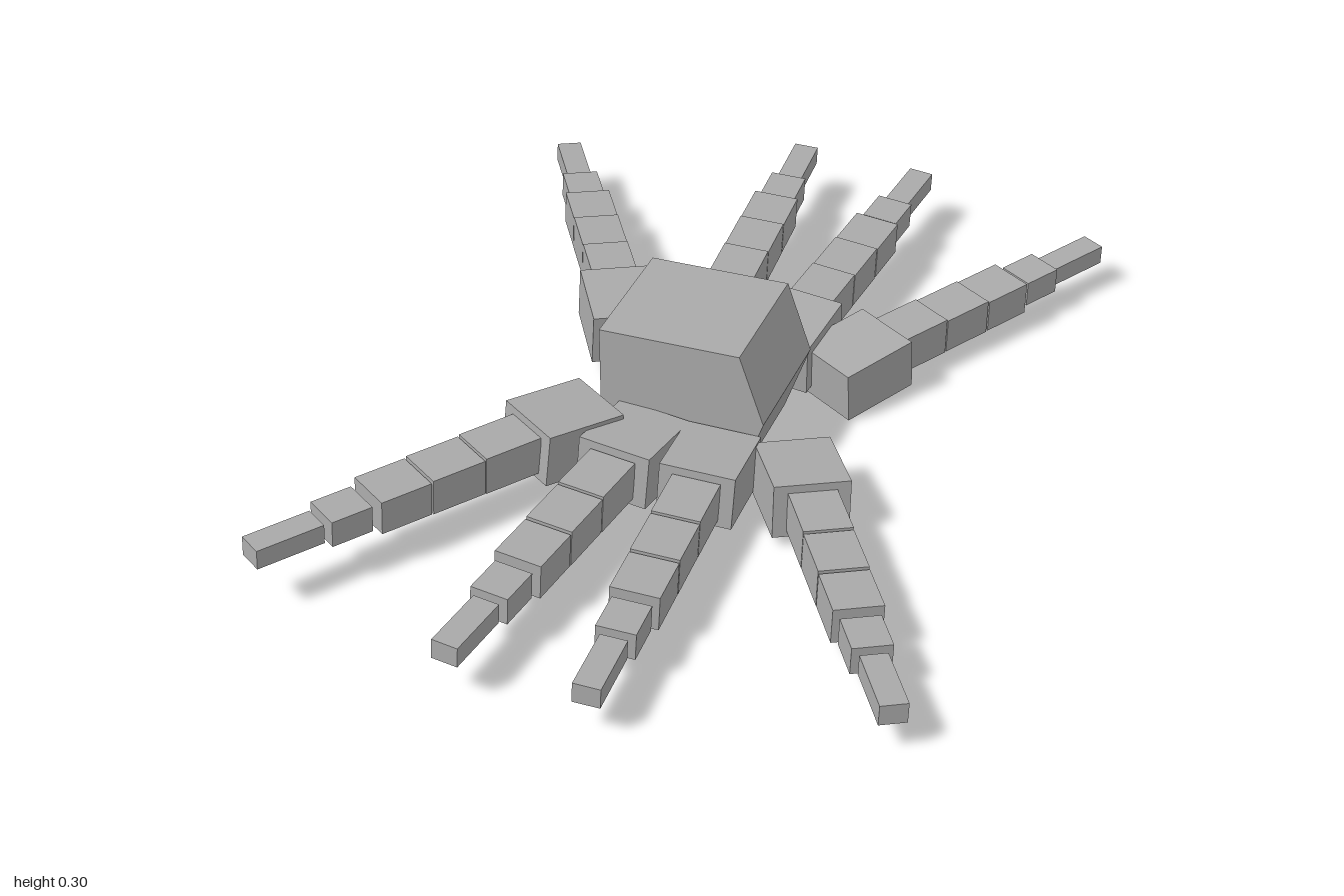
import * as THREE from 'three';

const grey = new THREE.MeshStandardMaterial({ color: 0xaaaaaa });
grey.name = 'stone grey';

// Leg blocks: start and end distance from the hip centre, width, height
const SEGMENTS = [
  ['upperSegment', 0.09, 0.222, 0.1, 0.085],
  ['middleSegment', 0.225, 0.348, 0.1, 0.08],
  ['lowerSegment', 0.352, 0.468, 0.1, 0.075],
  ['ankleSegment', 0.483, 0.575, 0.08, 0.058],
  ['tipSegment', 0.585, 0.735, 0.055, 0.043],
];
const LEG_LENGTH = 0.735;

// Each leg: name, hip centre, centre of the tip's end
const LEGS = [
  ['backInnerRightLeg', [-0.08, 0.1, -0.267], [-0.122, 0.118, -1.0]],
  ['backInnerLeftLeg', [0.095, 0.098, -0.25], [0.167, 0.115, -0.98]],
  ['backOuterLeftLeg', [0.245, 0.072, -0.238], [0.61, 0.085, -0.855]],
  ['backOuterRightLeg', [-0.28, 0.1, -0.214], [-0.66, 0.11, -0.83]],
  ['frontOuterRightLeg', [-0.22, 0.11, 0.26], [-0.608, 0.13, 0.865]],
  ['frontInnerRightLeg', [-0.07, 0.088, 0.254], [-0.15, 0.107, 0.985]],
  ['frontInnerLeftLeg', [0.095, 0.08, 0.26], [0.13, 0.092, 0.99]],
  ['frontOuterLeftLeg', [0.278, 0.07, 0.222], [0.659, 0.085, 0.841]],
];

function block(name, w, h, d) {
  const mesh = new THREE.Mesh(new THREE.BoxGeometry(w, h, d), grey);
  mesh.name = name;
  return mesh;
}

function makeLeg([name, hipAt, tipAt]) {
  const leg = new THREE.Group();
  leg.name = name;
  const tip = new THREE.Vector3(...tipAt);
  leg.position.set(...hipAt);
  leg.up.set(0.05, 1, 0); // slight sideways lean
  leg.lookAt(tip);
  const stretch = leg.position.distanceTo(tip) / LEG_LENGTH;

  // Hip block, its outer end raised a little
  const hip = block('hip', 0.157, 0.115, 0.18);
  hip.rotation.x = -0.07;
  leg.add(hip);

  // Tapering chain of blocks
  for (const [part, from, to, w, h] of SEGMENTS) {
    const seg = block(part, w, h, (to - from) * stretch);
    seg.position.set(0, 0.008 * (1 - to / LEG_LENGTH), ((from + to) / 2) * stretch);
    leg.add(seg);
  }
  return leg;
}

export function createModel() {
  const model = new THREE.Group();
  model.name = 'blockSpider';

  // Body: five-sided prism with a ridge on the left side
  const outline = new THREE.Shape([
    [-0.177, 0], [0.12, 0], [0.175, 0.153], [0.123, 0.304], [-0.177, 0.304],
  ].map(([x, y]) => new THREE.Vector2(x, y)));
  const geo = new THREE.ExtrudeGeometry(outline, { depth: 0.3, bevelEnabled: false });
  const body = new THREE.Mesh(geo, grey);
  body.name = 'body';
  body.position.z = -0.14;
  model.add(body);

  for (const spec of LEGS) model.add(makeLeg(spec));
  return model;
}
